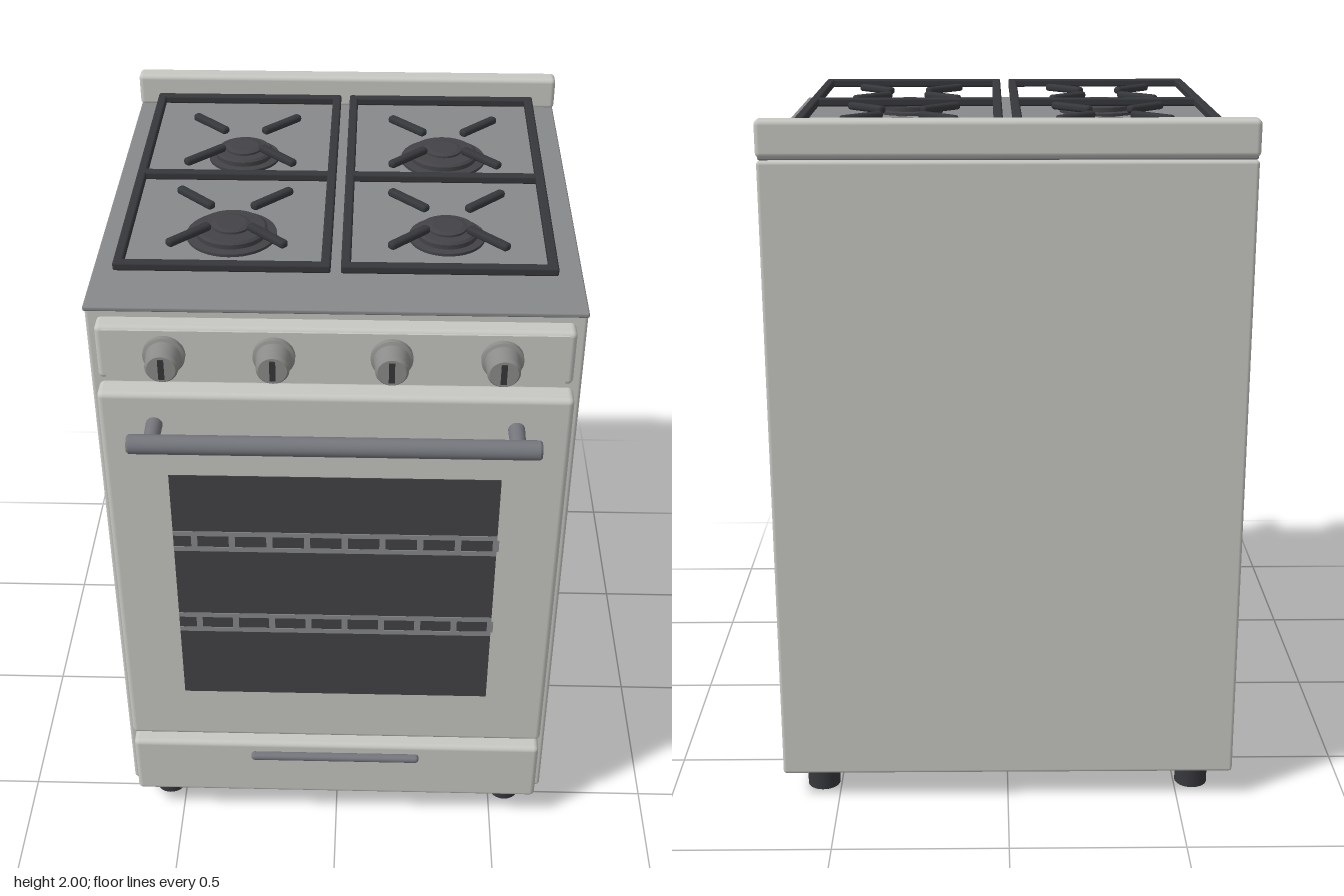
import * as THREE from 'three';
import { RoundedBoxGeometry } from 'three/addons/geometries/RoundedBoxGeometry.js';

export function createModel() {
  const group = new THREE.Group();
  const paint = (name, color) => new THREE.MeshStandardMaterial({ name, color });
  const enamel = paint('paleEnamel', 0xc6c6c2);
  const steel = paint('cooktopSteel', 0x87888a);
  const handleSteel = paint('handleSteel', 0x74767c);
  const knobGrey = paint('knobGrey', 0x8c8c8a);
  const iron = paint('castIron', 0x36373b);
  const burnerGrey = paint('burnerGrey', 0x434347);
  const glass = paint('ovenGlass', 0x424246);
  const rackGrey = paint('rackGrey', 0x88898c);
  const rubber = paint('footRubber', 0x37383d);

  const add = (name, geometry, material, x = 0, y = 0, z = 0, parent = group) => {
    const mesh = new THREE.Mesh(geometry, material);
    mesh.name = name;
    mesh.position.set(x, y, z);
    parent.add(mesh);
    return mesh;
  };
  // Box given by its lower and upper limits; r rounds the edges
  const box = (name, mat, [x0, x1], [y0, y1], [z0, z1], r = 0, parent = group) => {
    const size = [x1 - x0, y1 - y0, z1 - z0];
    const geo = r ? new RoundedBoxGeometry(...size, 3, r) : new THREE.BoxGeometry(...size);
    return add(name, geo, mat, (x0 + x1) / 2, (y0 + y1) / 2, (z0 + z1) / 2, parent);
  };
  // Solid turned from [radius, height] points; sharp rings are kept by separate segments
  const turned = (name, mat, points, x, y, z, parent = group) => {
    const part = new THREE.Group();
    part.name = name;
    part.position.set(x, y, z);
    for (let i = 1; i < points.length; i++) {
      const pair = [points[i - 1], points[i]].map(([r, h]) => new THREE.Vector2(r, h));
      add(name + 'Face', new THREE.LatheGeometry(pair, 40), mat, 0, 0, 0, part);
    }
    parent.add(part);
    return part;
  };

  // Cabinet, cooktop and upstand
  box('cabinet', enamel, [-0.662, 0.662], [0.085, 1.892], [-0.735, 0.548], 0.01);
  box('cooktop', steel, [-0.66, 0.66], [1.892, 1.906], [-0.72, 0.58], 0.005);
  box('upstand', enamel, [-0.664, 0.664], [1.9, 2.0], [-0.74, -0.68], 0.014);

  // Front panels
  box('controlPanel', enamel, [-0.632, 0.632], [1.695, 1.858], [0.53, 0.6], 0.015);
  box('controlPlate', enamel, [-0.61, 0.61], [1.7, 1.85], [0.598, 0.604]);
  box('ovenDoor', enamel, [-0.64, 0.64], [0.362, 1.657], [0.54, 0.615], 0.016);
  box('drawer', enamel, [-0.64, 0.64], [0.105, 0.325], [0.54, 0.615], 0.016);

  // Window with two racks
  box('ovenWindow', glass, [-0.463, 0.46], [0.555, 1.388], [0.612, 0.617]);
  for (const y of [1.153, 0.843]) {
    const rack = new THREE.Group();
    rack.name = 'ovenRack';
    group.add(rack);
    for (const [a, b] of [[0.02, 0.036], [-0.036, -0.02]])
      box('rackRail', rackGrey, [-0.463, 0.46], [y + a, y + b], [0.616, 0.619], 0, rack);
    for (let i = 0; i < 9; i++) {
      const x = -0.403 + i * 0.1075;
      box('rackRung', rackGrey, [x - 0.009, x + 0.009], [y - 0.02, y + 0.02], [0.616, 0.619], 0, rack);
    }
  }

  // Door handle on two posts
  turned('doorHandle', handleSteel,
    [[0, -0.553], [0.022, -0.553], [0.027, -0.547], [0.027, 0.547], [0.022, 0.553], [0, 0.553]],
    0, 1.56, 0.708).rotation.z = -Math.PI / 2;
  for (const x of [-0.49, 0.49]) {
    add('handlePost', new THREE.CylinderGeometry(0.021, 0.023, 0.1, 24), handleSteel, x, 1.56, 0.66)
      .rotation.x = Math.PI / 2;
  }

  // Drawer pull
  box('drawerPull', handleSteel, [-0.268, 0.262], [0.268, 0.292], [0.61, 0.637], 0.011);

  // Knobs with dark pointers
  for (const x of [-0.45, -0.16, 0.15, 0.44]) {
    turned('knob', knobGrey,
      [[0.056, 0], [0.056, 0.016], [0.048, 0.02], [0.044, 0.07], [0.038, 0.078], [0, 0.078]],
      x, 1.78, 0.602).rotation.x = Math.PI / 2;
    box('knobPointer', iron, [x - 0.008, x + 0.008], [1.75, 1.81], [0.677, 0.683]);
  }

  // Burners: base plate, sloped head, raised cap
  const burners = [[-0.3, -0.3, 0.106], [0.3, -0.3, 0.126], [-0.3, 0.185, 0.126], [0.3, 0.185, 0.106]];
  for (const [x, z, r] of burners) {
    turned('burner', burnerGrey,
      [[r, 0], [r, 0.009], [r * 0.8, 0.011], [r * 0.8, 0.024], [r * 0.74, 0.03],
        [0.055, 0.032], [0.055, 0.038], [0.042, 0.042], [0, 0.042]],
      x, 1.905, z);
    // Four diagonal pan supports
    for (let k = 0; k < 4; k++) {
      const a = Math.PI / 4 + k * Math.PI / 2, d = 0.152;
      add('panSupport', new RoundedBoxGeometry(0.148, 0.022, 0.026, 2, 0.009), iron,
        x + Math.cos(a) * d, 1.965, z + Math.sin(a) * d).rotation.y = -a;
    }
  }

  // Two grate frames, each with a crossbar
  for (const [x0, x1] of [[-0.59, -0.015], [0.012, 0.584]]) {
    const grate = new THREE.Group();
    grate.name = 'grate';
    group.add(grate);
    const y = [1.954, 1.978];
    for (const z of [-0.588, -0.062, 0.462])
      box('grateCrossbar', iron, [x0, x1], y, [z - 0.014, z + 0.014], 0.006, grate);
    for (const x of [x0 + 0.013, x1 - 0.013])
      box('grateSideBar', iron, [x - 0.013, x + 0.013], y, [-0.602, 0.476], 0.006, grate);
  }

  // Feet
  for (const x of [-0.553, 0.553])
    for (const z of [-0.63, 0.485])
      add('foot', new THREE.CylinderGeometry(0.048, 0.048, 0.09, 32), rubber, x, 0.045, z);

  return group;
}
